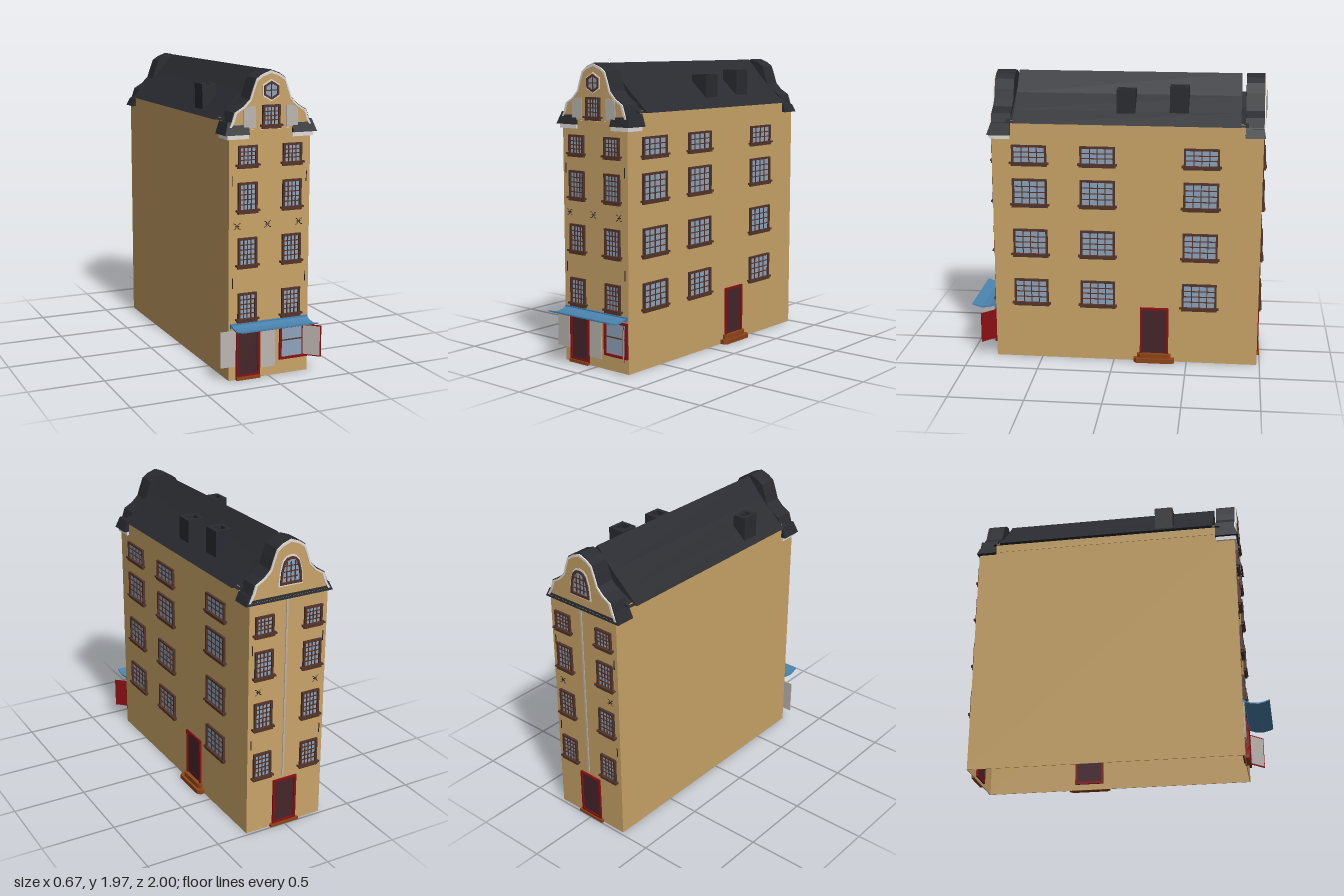
import * as THREE from 'three';

const mat = (color) => new THREE.MeshStandardMaterial({ color, side: THREE.DoubleSide, flatShading: true });
const M = {
  wall: mat(0xc9a468), roof: mat(0x292b30), wood: mat(0x53342a), glass: mat(0x8fa3ba), iron: mat(0x2a2420),
  red: mat(0x8a1014), door: mat(0x45252a), step: mat(0x8f4419), pale: mat(0xbcb6b0), white: mat(0xe2dcda), blue: mat(0x4a83ae),
};

function add(parent, name, geo, m, x = 0, y = 0, z = 0) {
  const mesh = new THREE.Mesh(geo, m);
  mesh.name = name;
  mesh.position.set(x, y, z);
  parent.add(mesh);
  return mesh;
}
// box given by its min and max on every axis
const span = (parent, name, m, x0, x1, y0, y1, z0, z1) =>
  add(parent, name, new THREE.BoxGeometry(x1 - x0, y1 - y0, z1 - z0), m, (x0 + x1) / 2, (y0 + y1) / 2, (z0 + z1) / 2);
const poly = (pts) => new THREE.Shape(pts.map(([x, y]) => new THREE.Vector2(x, y)));
const mirrored = (half) => [...half, ...half.slice(0, -1).reverse().map(([x, y]) => [-x, y])];
const extrude = (pts, depth, hole) => {
  const s = poly(pts);
  if (hole) s.holes.push(poly(hole));
  return new THREE.ExtrudeGeometry(s, { depth, bevelEnabled: false });
};
const rect = (w, h) => [[-w / 2, -h / 2], [w / 2, -h / 2], [w / 2, h / 2], [-w / 2, h / 2]];
const scaled = (pts, sx, sy = sx, cy = 0) => pts.map(([x, y]) => [x * sx, cy + (y - cy) * sy]);

function group(parent, name, x = 0, y = 0, z = 0, ry = 0) {
  const g = new THREE.Group();
  g.name = name;
  g.position.set(x, y, z);
  g.rotation.y = ry;
  parent.add(g);
  return g;
}

// framed window with glazing bars and sill; local z points out of the wall
function windowAt(parent, x, y0, w, h, cols, rows, sill = true) {
  const g = group(parent, 'window', x, y0 + h / 2, 0), b = 0.014;
  add(g, 'windowFrame', extrude(rect(w, h), 0.016, rect(w - 2 * b, h - 2 * b)), M.wood);
  span(g, 'windowGlass', M.glass, -w / 2 + b, w / 2 - b, -h / 2 + b, h / 2 - b, -0.008, 0.004);
  const iw = w - 2 * b, ih = h - 2 * b;
  for (let i = 1; i < cols; i++) span(g, 'glazingBar', M.wood, -iw / 2 + iw * i / cols - 0.003, -iw / 2 + iw * i / cols + 0.003, -ih / 2, ih / 2, 0, 0.009);
  for (let i = 1; i < rows; i++) span(g, 'glazingBar', M.wood, -iw / 2, iw / 2, -ih / 2 + ih * i / rows - 0.003, -ih / 2 + ih * i / rows + 0.003, 0, 0.009);
  if (sill) {
    span(g, 'windowSill', M.wood, -w / 2 - 0.015, w / 2 + 0.015, -h / 2 + 0.002, -h / 2 + 0.014, 0, 0.024);
    span(g, 'sillBase', M.wood, -w / 2 - 0.004, w / 2 + 0.004, -h / 2 - 0.012, -h / 2 + 0.002, 0, 0.018);
  }
}
const FLOORS = [[0.39, 0.18, 5], [0.74, 0.185, 5], [1.09, 0.185, 5], [1.375, 0.13, 4]];

function doorAt(parent, x, y0, w, h) {
  const g = group(parent, 'door', x, y0 + h / 2, 0);
  add(g, 'doorFrame', extrude(rect(w, h), 0.03, rect(w - 0.03, h - 0.03)), M.red, 0, 0, -0.018);
  span(g, 'doorLeaf', M.door, -w / 2 + 0.014, w / 2 - 0.014, -h / 2, h / 2 - 0.014, -0.016, 0.004);
}

// iron wall tie: two curved bars back to back
function wallAnchor(parent, x, y) {
  const g = group(parent, 'wallAnchor', x, y, 0.003);
  for (const s of [-1, 1]) {
    const arc = add(g, 'anchorArc', new THREE.TorusGeometry(0.019, 0.0025, 4, 8, Math.PI), M.iron, s * 0.023, 0, 0);
    arc.rotation.z = s * Math.PI / 2;
  }
  span(g, 'anchorBar', M.iron, -0.014, 0.014, -0.002, 0.002, -0.003, 0.003);
}

function ironwork(parent, xs) {
  xs.forEach((x) => wallAnchor(parent, x, 1.0));
  for (const x of [-0.255, 0.255]) for (const y of [0.64, 1.29])
    span(parent, 'tieBar', M.iron, x - 0.002, x + 0.002, y - 0.035, y + 0.03, 0, 0.005);
}

// pent roof piece: a box whose top is drawn in towards (cx, cz)
function pent(parent, x0, x1, y0, y1, z0, z1, cx, cz, k) {
  const m = span(parent, 'pentRoof', M.roof, x0, x1, y0, y1, z0, z1), p = m.geometry.attributes.position;
  for (let i = 0; i < p.count; i++) if (p.getY(i) > 0) {
    p.setX(i, cx - m.position.x + (p.getX(i) + m.position.x - cx) * k);
    p.setZ(i, cz - m.position.z + (p.getZ(i) + m.position.z - cz) * k);
  }
}

const GABLE = mirrored([[0.3, 1.6], [0.27, 1.65], [0.25, 1.71], [0.19, 1.745], [0.145, 1.79], [0.125, 1.85], [0.1, 1.915], [0.06, 1.943], [0, 1.965]]);

function gableFace(parent) {
  add(parent, 'gableFace', extrude(scaled(GABLE, 0.96, 0.97, 1.6), 0.006), M.wall);
  add(parent, 'gableTrim', extrude(scaled(GABLE, 0.975, 0.985, 1.6), 0.01, scaled(GABLE, 0.92, 0.94, 1.605)), M.white);
}

export function createModel() {
  const root = new THREE.Group();
  root.name = 'townHouse';

  // hollow walls, open below
  span(root, 'rightWall', M.wall, 0.275, 0.28, 0, 1.6, -0.98, 0.82);
  span(root, 'leftWall', M.wall, -0.28, -0.275, 0, 1.6, -0.98, 0.82);
  for (const s of [-1, 1]) span(root, 'upperSideWall', M.wall, s * 0.28 - 0.003, s * 0.28, 1.6, 1.67, -0.86, 0.69);
  span(root, 'frontWall', M.wall, -0.28, 0.28, 0, 1.61, 0.815, 0.82);
  span(root, 'backWall', M.wall, -0.28, 0.28, 0, 1.61, -0.98, -0.975);

  // main roof and the two curved gable roofs
  const roofLine = mirrored([[0.315, 1.655], [0.225, 1.735], [0.12, 1.83], [0, 1.963]]);
  add(root, 'mainRoof', extrude(roofLine, 1.5), M.roof, 0, 0, -0.83);
  add(root, 'roofLink', extrude(scaled(roofLine, 0.95, 0.6, 1.655), 1.6), M.roof, 0, 0, -0.88);
  add(root, 'frontGableRoof', extrude(GABLE, 0.13), M.roof, 0, 0, 0.69);
  add(root, 'backGableRoof', extrude(GABLE, 0.12), M.roof, 0, 0, -0.98);
  for (const s of [-1, 1]) {
    const [a, b] = s > 0 ? [0.15, 0.315] : [-0.315, -0.15];
    pent(root, a, b, 1.572, 1.65, 0.69, 0.845, s * 0.15, 0.69, 0.84);
    span(root, 'cornice', M.white, s > 0 ? 0.15 : -0.295, s > 0 ? 0.295 : -0.15, 1.545, 1.574, 0.695, 0.832);
  }
  pent(root, -0.31, 0.31, 1.585, 1.64, -0.992, -0.86, 0, -0.86, 0.92);

  // chimneys with hollow tops
  for (const [x, z, w, y0, top] of [[0.175, -0.425, 0.115, 1.7, 1.9], [0.18, -0.075, 0.12, 1.7, 1.875], [-0.23, 0.335, 0.095, 1.68, 1.85]]) {
    const c = add(root, 'chimney', extrude(rect(w, 0.125), top - y0, rect(w - 0.05, 0.07)), M.roof, x, y0, z);
    c.rotation.x = -Math.PI / 2;
    span(root, 'chimneyFloor', M.roof, x - w / 2 + 0.01, x + w / 2 - 0.01, y0, top - 0.03, z - 0.05, z + 0.05);
  }

  // front facade
  const front = group(root, 'frontFacade', 0, 0, 0.82);
  for (const [y, h, r] of FLOORS) for (const x of [-0.155, 0.152]) windowAt(front, x, y, 0.13, h, 4, r);
  ironwork(front, [-0.225, -0.015, 0.205]);
  gableFace(front);
  const gableParts = group(front, 'gableWindows', 0, 0, 0.006);
  windowAt(gableParts, 0, 1.615, 0.12, 0.135, 4, 4);
  for (const s of [-1, 1])
    add(gableParts, 'gablePanel', extrude([[-0.04, 1.61], [0.04, 1.61], [0.04, 1.72], [0.025, 1.735], [-0.02, 1.745], [-0.04, 1.745]].map(([x, y]) => [x * s, y]), 0.005), M.pale, s * 0.145);
  const hex = Array.from({ length: 6 }, (_, i) => [Math.sin(i * Math.PI / 3), Math.cos(i * Math.PI / 3)]);
  add(gableParts, 'hexTrim', extrude(scaled(hex, 0.068), 0.006, scaled(hex, 0.058)), M.white, 0, 1.838);
  add(gableParts, 'hexFrame', extrude(scaled(hex, 0.058), 0.012, scaled(hex, 0.045)), M.wood, 0, 1.838);
  add(gableParts, 'hexGlass', extrude(scaled(hex, 0.048), 0.004), M.glass, 0, 1.838);
  span(gableParts, 'hexBar', M.wood, -0.003, 0.003, 1.793, 1.883, 0, 0.009);
  span(gableParts, 'hexBar', M.wood, -0.04, 0.04, 1.835, 1.841, 0, 0.009);

  // shop front: door, pilaster, window, shutters
  doorAt(front, -0.147, 0.015, 0.165, 0.32);
  span(front, 'doorStep', M.step, -0.23, -0.065, 0, 0.02, -0.01, 0.022);
  span(front, 'pilaster', M.pale, -0.055, 0.045, 0.06, 0.34, -0.015, 0.006);
  add(front, 'shopWindowFrame', extrude(rect(0.2, 0.235), 0.03, rect(0.17, 0.205)), M.red, 0.175, 0.215, -0.016);
  span(front, 'shopWindowGlass', M.glass, 0.09, 0.26, 0.11, 0.32, -0.012, 0.004);
  span(front, 'shopWindowBar', M.wood, 0.09, 0.26, 0.221, 0.228, 0, 0.01);
  span(front, 'leftShutter', M.pale, -0.34, -0.235, 0.095, 0.33, 0.004, 0.012);
  const shutter = group(front, 'rightShutter', 0.235, 0.215, 0.01, -0.76);
  span(shutter, 'shutterBack', M.red, 0, 0.13, -0.105, 0.105, -0.004, 0);
  span(shutter, 'shutterPanel', M.pale, 0.008, 0.122, -0.097, 0.097, 0, 0.003);

  // awning: a sagging sheet with an upturned lip
  const sheet = [[0, 0.372], [0.05, 0.355], [0.1, 0.35], [0.14, 0.358], [0.172, 0.37]];
  const lower = sheet.map(([z, y]) => [z, y - 0.008]).reverse();
  const awning = add(front, 'awning', extrude([...sheet, ...lower], 0.535), M.blue, 0.27);
  awning.rotation.y = -Math.PI / 2;
  span(front, 'awningRail', M.blue, -0.27, 0.275, 0.345, 0.375, 0, 0.015);
  span(front, 'awningValance', M.blue, -0.265, 0.27, 0.342, 0.35, 0.08, 0.11);

  // right facade: local x runs towards the back
  const right = group(root, 'rightFacade', 0.28, 0, 0, Math.PI / 2);
  for (const [y, h, r] of FLOORS) for (const u of [-0.568, -0.11, 0.58]) windowAt(right, u, y, 0.235, h, 4, r - 1);
  doorAt(right, 0.277, 0.04, 0.195, 0.35);
  [[0.14, 0.048, 0, 0.03], [0.115, 0.03, 0.03, 0.06]].forEach(([hw, d, y0, y1]) => {
    const s = add(right, 'sideStep', extrude([[-hw, 0], [-hw, d * 0.6], [-hw + 0.02, d], [hw - 0.02, d], [hw, d * 0.6], [hw, 0]], y1 - y0), M.step, 0.277, y1, 0);
    s.rotation.x = Math.PI / 2;
  });

  // back facade
  const back = group(root, 'backFacade', 0, 0, -0.98, Math.PI);
  for (const [y, h, r] of FLOORS) for (const x of [-0.175, 0.175]) windowAt(back, x, y, 0.13, h, 4, r);
  ironwork(back, [-0.21, 0.21]);
  gableFace(back);
  doorAt(back, 0, 0.02, 0.175, 0.32);
  span(back, 'backStep', M.step, -0.105, 0.105, 0, 0.02, 0, 0.02);
  span(back, 'downpipe', M.pale, -0.02, -0.008, 0.36, 1.585, 0, 0.006);
  const arch = mirrored([[0.078, -0.085], [0.07, 0.0], [0.052, 0.06], [0.03, 0.082], [0, 0.088]]);
  add(back, 'archTrim', extrude(scaled(arch, 1.13), 0.01, arch), M.white, 0, 1.765);
  add(back, 'archFrame', extrude(arch, 0.018, scaled(arch, 0.82)), M.wood, 0, 1.765);
  add(back, 'archGlass', extrude(scaled(arch, 0.85), 0.008), M.glass, 0, 1.765);
  for (const x of [-0.03, 0, 0.03]) span(back, 'archBar', M.wood, x - 0.003, x + 0.003, 1.69, 1.822, 0.006, 0.013);
  for (const y of [1.725, 1.76, 1.795]) span(back, 'archBar', M.wood, -0.05, 0.05, y - 0.003, y + 0.003, 0.006, 0.013);

  return root;
}
